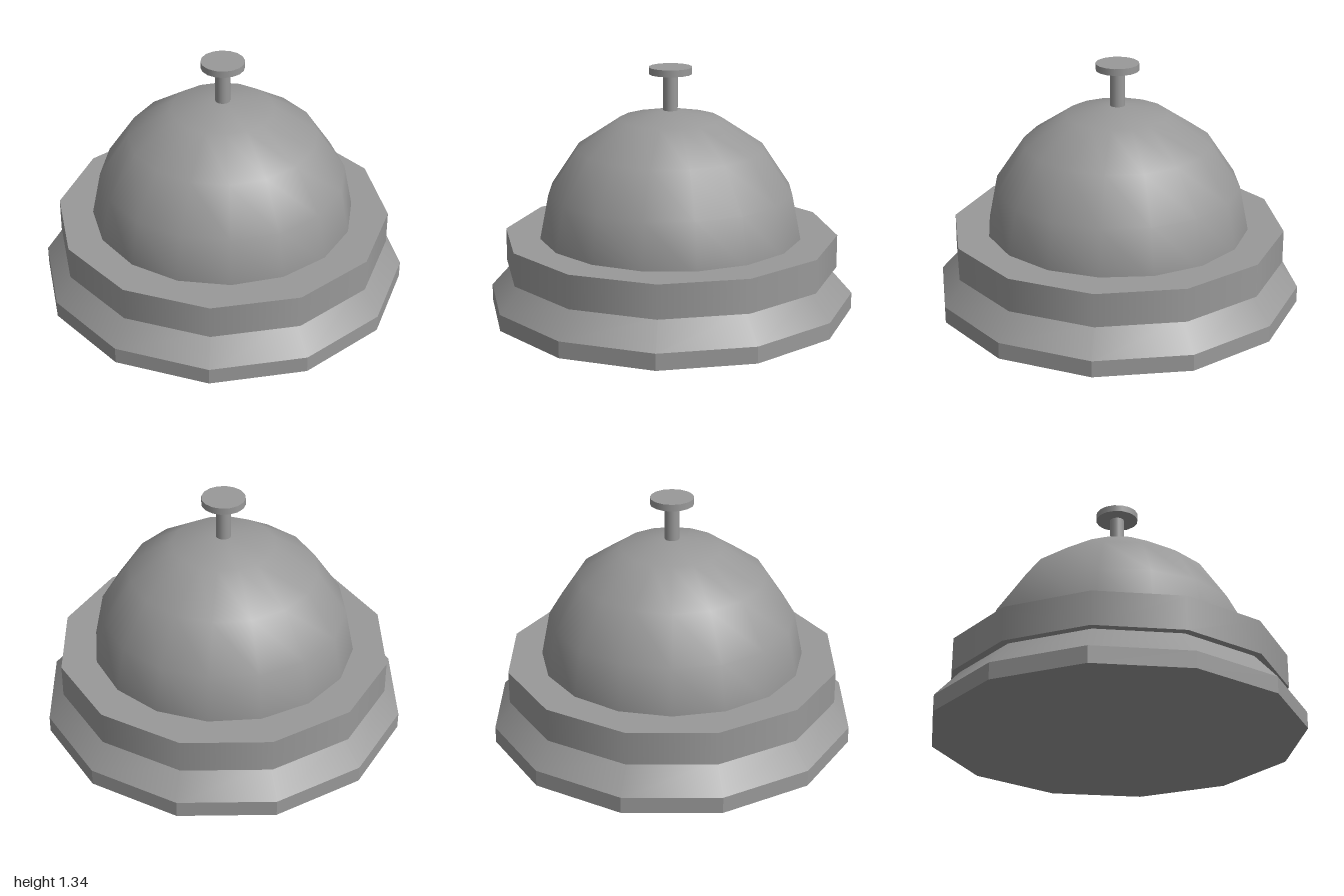
import * as THREE from 'three';

export function createModel() {
  const group = new THREE.Group();
  group.name = 'deskBell';
  const grey = new THREE.MeshStandardMaterial({ color: 0x999999 });
  grey.name = 'grey metal';

  const add = (name, geometry, y = 0) => {
    const mesh = new THREE.Mesh(geometry, grey);
    mesh.name = name;
    mesh.position.y = y;
    group.add(mesh);
  };
  // Upright round part spanning y0 to y1
  const drum = (name, rTop, rBottom, y0, y1, sides, open = false) =>
    add(name, new THREE.CylinderGeometry(rTop, rBottom, y1 - y0, sides, 1, open), (y0 + y1) / 2);

  // Faceted foot plate: the flat-shaded rim has hard corners
  const foot = new THREE.CylinderGeometry(1, 1, 0.09, 12).toNonIndexed();
  foot.computeVertexNormals();
  add('footPlate', foot, 0.045);

  // Sloping skirt and the wider collar over it
  drum('skirt', 0.87, 1, 0.09, 0.235, 12, true);
  drum('collar', 0.913, 0.913, 0.235, 0.418, 12);

  // Dome
  add('dome', new THREE.SphereGeometry(0.724, 16, 4, 0, Math.PI * 2, 0, Math.PI / 2), 0.386);

  // Plunger
  drum('plungerStem', 0.04, 0.04, 1.06, 1.3, 16);
  drum('plungerButton', 0.117, 0.117, 1.3, 1.337, 16);
  return group;
}
